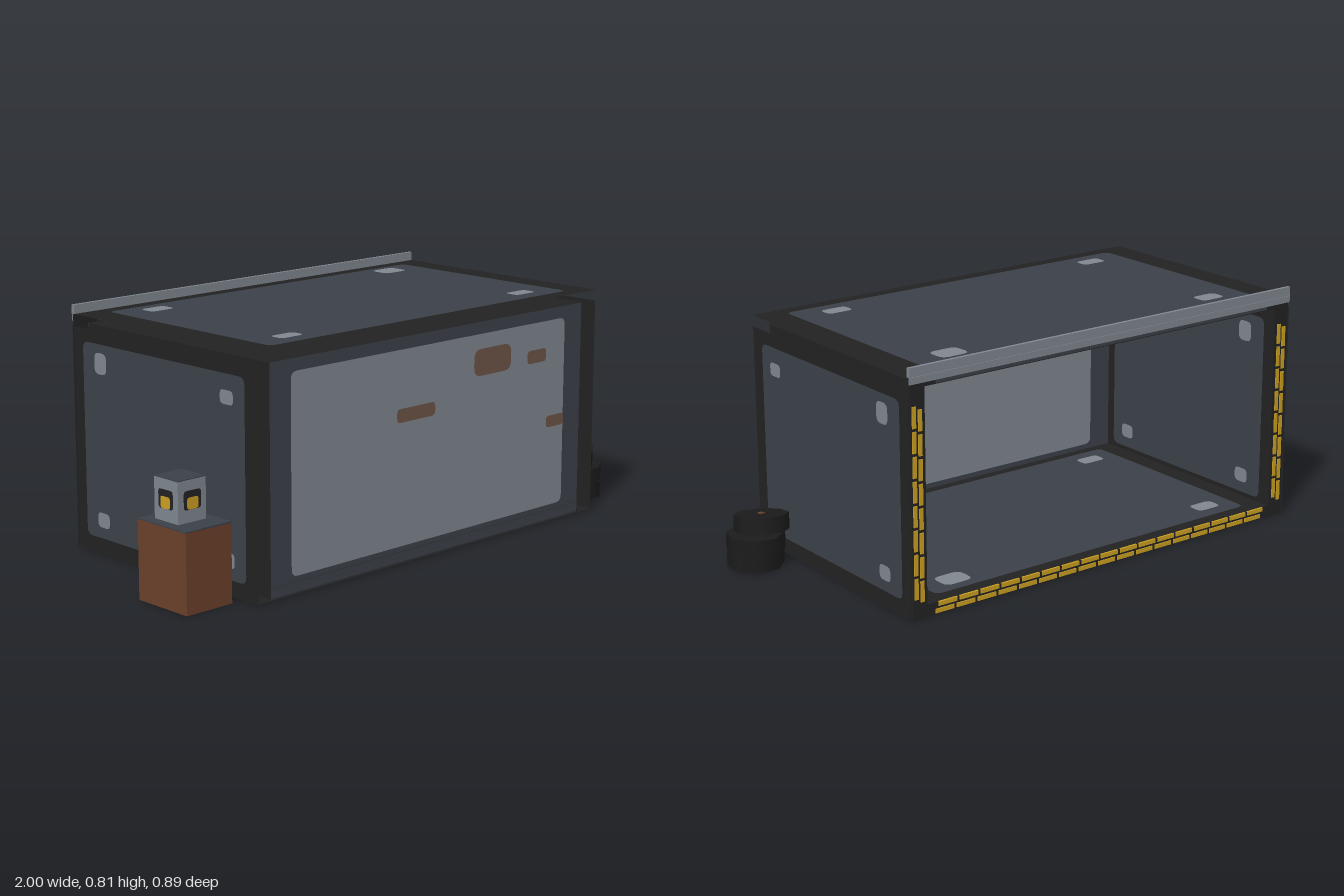
import * as THREE from 'three';

const mat = (name, color) => {
  const m = new THREE.MeshStandardMaterial({ color, side: THREE.DoubleSide });
  m.name = name;
  return m;
};

export function createModel() {
  const M = {
    black: mat('blackFrame', 0x222222),
    slate: mat('slatePanel', 0x3c4149),
    grey: mat('lightGrey', 0x80878f),
    yellow: mat('hazardYellow', 0xcba021),
    rust: mat('rust', 0x6e5648),
    brown: mat('crateBrown', 0x6b412a),
    rubber: mat('rubber', 0x1c1c1d),
  };
  const model = new THREE.Group();
  model.name = 'openContainer';

  const add = (parent, name, geo, material, x = 0, y = 0, z = 0) => {
    const mesh = new THREE.Mesh(geo, material);
    mesh.name = name;
    mesh.position.set(x, y, z);
    parent.add(mesh);
    return mesh;
  };
  const box = (parent, name, m, w, h, d, x, y, z) =>
    add(parent, name, new THREE.BoxGeometry(w, h, d), m, x, y, z);

  // Flat rectangle with rounded corners, facing +z
  const rounded = (w, h, r) => {
    const s = new THREE.Shape(), x = w / 2, y = h / 2;
    s.moveTo(-x + r, -y);
    s.lineTo(x - r, -y).quadraticCurveTo(x, -y, x, -y + r);
    s.lineTo(x, y - r).quadraticCurveTo(x, y, x - r, y);
    s.lineTo(-x + r, y).quadraticCurveTo(-x, y, -x, y - r);
    s.lineTo(-x, -y + r).quadraticCurveTo(-x, -y, -x + r, -y);
    return new THREE.ShapeGeometry(s, 4);
  };

  // Framed sheet: border, rounded inset field and worn patches [x, y, w, h]
  const panel = (name, o) => {
    const g = new THREE.Group();
    g.name = name;
    add(g, 'border', new THREE.PlaneGeometry(o.w, o.h), o.border ?? M.black);
    add(g, 'field', rounded(o.fw, o.fh, 0.025), o.field ?? M.slate, 0, o.fy ?? 0, 0.002);
    for (const [x, y, w, h] of o.patches ?? [])
      add(g, 'patch', rounded(w, h, Math.min(w, h) * 0.35), o.patch ?? M.grey, x, y, 0.004);
    g.position.set(...o.pos);
    g.rotation.set(...(o.rot ?? [0, 0, 0]));
    model.add(g);
    return g;
  };

  const H = Math.PI / 2;
  const flip = (list) => list.map(([x, y, w, h]) => [-x, y, w, h]);

  // Roof, ceiling, floor and underside
  const flatPatches = [
    [-0.54, 0.31, 0.095, 0.062], [0.535, 0.315, 0.105, 0.08],
    [-0.54, -0.31, 0.095, 0.055], [0.535, -0.31, 0.095, 0.055],
  ];
  const flat = { w: 1.56, h: 0.88, fw: 1.36, fh: 0.775 };
  panel('roof', { ...flat, patches: flatPatches, pos: [0, 0.78, 0.008], rot: [-H, 0, 0] });
  panel('underside', { ...flat, patches: flatPatches, pos: [0, 0.004, 0.005], rot: [H, 0, 0] });
  const inner = { ...flat, w: 1.44, h: 0.87, fw: 1.3 };
  panel('floor', { ...inner, patches: flatPatches, pos: [0, 0.038, 0], rot: [-H, 0, 0] });
  panel('ceiling', { ...inner, patches: flatPatches, pos: [0, 0.742, 0], rot: [H, 0, 0] });

  // Side walls, each with an outer and an inner sheet
  const wallPatches = [
    [-0.31, 0.255, 0.06, 0.045], [0.3, 0.265, 0.06, 0.07],
    [-0.31, -0.255, 0.06, 0.05], [0.3, -0.255, 0.06, 0.05],
  ];
  const wall = { w: 0.89, h: 0.742, fw: 0.78, fh: 0.645, fy: 0.005 };
  for (const s of [1, -1]) {
    const side = s > 0 ? 'left' : 'right';
    panel(side + 'OuterWall', {
      ...wall, patches: s > 0 ? wallPatches : flip(wallPatches),
      pos: [s * 0.778, 0.371, 0], rot: [0, s * H, 0],
    });
    panel(side + 'InnerWall', {
      ...wall, w: 0.87, patches: s > 0 ? flip(wallPatches) : wallPatches,
      pos: [s * 0.72, 0.371, 0], rot: [0, -s * H, 0],
    });
  }

  // Front wall with rust, and its inner face
  const front = { w: 1.44, h: 0.742, fw: 1.265, fh: 0.645, fy: 0.008, border: M.slate, field: M.grey };
  panel('frontWall', {
    ...front, patch: M.rust, pos: [0, 0.371, 0.432],
    patches: [[0.27, 0.236, 0.18, 0.09], [0.49, 0.217, 0.095, 0.045],
      [-0.09, 0.117, 0.175, 0.045], [0.588, -0.019, 0.09, 0.04]],
  });
  panel('frontWallInside', { ...front, pos: [0, 0.371, 0.426], rot: [0, Math.PI, 0] });

  // Frame around the open back, with hazard stripes on both faces
  const zb = -0.438;
  const hazard = (name, length, x, y, turn) => {
    const g = new THREE.Group();
    g.name = name;
    const n = Math.round(length / 0.08), step = length / n;
    for (let c = 0; c < 2; c++)
      for (let i = 0; i < n; i++) {
        const cy = -length / 2 + (i + 0.5) * step;
        box(g, 'stripe', M.yellow, 0.014, step * 0.87, 0.007, (c - 0.5) * 0.022, cy + (c ? 0.006 : -0.006), 0);
      }
    g.position.set(x, y, zb);
    g.rotation.z = turn;
    model.add(g);
  };
  for (const s of [1, -1]) {
    add(model, 'backPost', new THREE.PlaneGeometry(0.06, 0.78), M.black, s * 0.75, 0.39, zb);
    hazard('postStripes', 0.63, s * 0.75, 0.37, 0);
  }
  add(model, 'threshold', new THREE.PlaneGeometry(1.44, 0.04), M.black, 0, 0.02, zb);
  hazard('thresholdStripes', 1.38, 0, 0.022, H);
  add(model, 'header', new THREE.PlaneGeometry(1.44, 0.038), M.black, 0, 0.761, zb);
  box(model, 'headerField', M.slate, 1.36, 0.028, 0.004, 0, 0.759, zb);
  box(model, 'backRail', M.grey, 1.56, 0.03, 0.012, 0, 0.795, -0.439);
  box(model, 'backRailLip', M.grey, 1.56, 0.022, 0.003, 0, 0.768, -0.4435);

  // Ceiling lamp
  box(model, 'lampPlate', M.yellow, 0.29, 0.006, 0.14, 0, 0.735, 0);
  add(model, 'lampLens', rounded(0.13, 0.06, 0.025), M.grey, 0, 0.731, 0).rotation.x = H;

  // Crate with open bottom
  const crate = new THREE.Group();
  crate.name = 'crate';
  crate.position.set(-0.91, 0, 0.258);
  model.add(crate);
  for (const s of [1, -1]) {
    box(crate, 'crateSide', M.brown, 0.004, 0.256, 0.224, s * 0.088, 0.128, 0);
    box(crate, 'crateEnd', M.brown, 0.18, 0.256, 0.004, 0, 0.128, s * 0.11);
  }
  box(crate, 'crateLid', M.slate, 0.18, 0.006, 0.224, 0, 0.257, 0);
  box(crate, 'crateSlot', M.black, 0.172, 0.02, 0.004, 0, 0.06, -0.1115);

  // Dispenser on the crate, with a dark niche and yellow cup on each side
  const dispenser = new THREE.Group();
  dispenser.name = 'dispenser';
  dispenser.position.set(-0.91, 0.26, 0.24);
  model.add(dispenser);
  box(dispenser, 'body', M.grey, 0.11, 0.132, 0.11, 0, 0.066, 0);
  box(dispenser, 'top', M.slate, 0.108, 0.004, 0.108, 0, 0.133, 0);
  for (let i = 0; i < 4; i++) {
    const face = new THREE.Group();
    face.name = 'niche';
    face.rotation.y = i * H;
    add(face, 'opening', rounded(0.068, 0.06, 0.012), M.black, 0, 0.07, 0.057);
    add(face, 'cup', rounded(0.045, 0.038, 0.01), M.yellow, 0, 0.06, 0.059);
    dispenser.add(face);
  }
  box(dispenser, 'tap', M.yellow, 0.03, 0.025, 0.024, 0, 0.014, -0.083);

  // Stack of tyres, the top one tilted
  const tyres = new THREE.Group();
  tyres.name = 'tyreStack';
  model.add(tyres);
  const tyre = (r, h, x, y, z, turn) => {
    const geo = new THREE.CylinderGeometry(r, r, h, 8);
    const t = add(tyres, 'tyre', geo, M.rubber, x, y, z);
    t.rotation.y = turn;
    return t;
  };
  tyre(0.094, 0.055, 0.906, 0.0275, 0.267, 0.39);
  tyre(0.096, 0.055, 0.904, 0.083, 0.267, 0.2);
  const topTyre = tyre(0.09, 0.055, 0.888, 0.146, 0.253, 0.3);
  topTyre.rotation.set(0.12, 0.3, 0.08);
  const hub = add(topTyre, 'hub', new THREE.CylinderGeometry(0.012, 0.012, 0.004, 8), M.brown, 0, 0.028, 0);
  hub.name = 'hub';

  return model;
}
